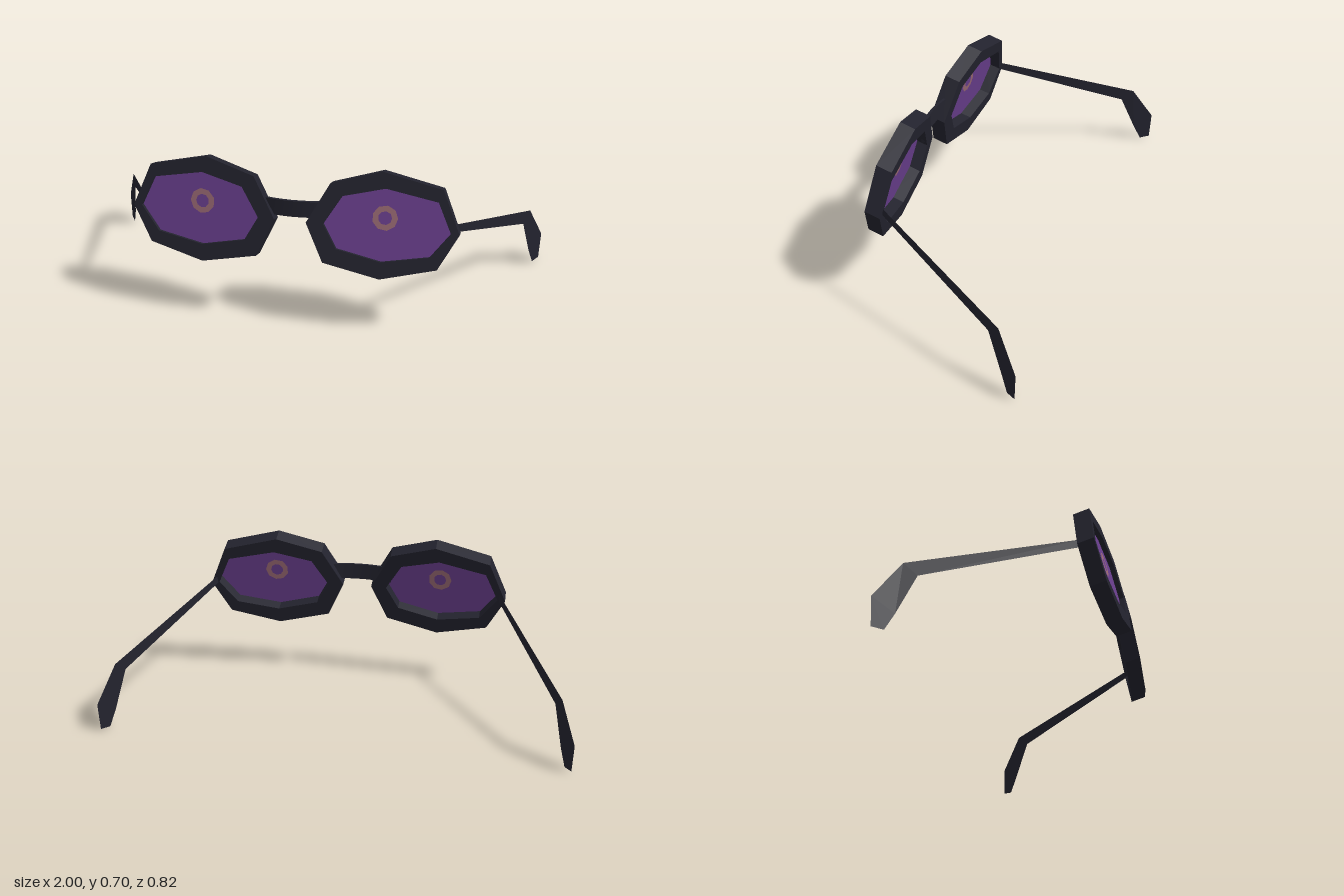
import * as THREE from 'three';

const frameMat = new THREE.MeshStandardMaterial({ color: 0x23232e });
frameMat.name = 'dark frame';
const sheetMat = new THREE.MeshStandardMaterial({ color: 0x23232e, side: THREE.DoubleSide });
sheetMat.name = 'dark thin arm';
const lensMat = new THREE.MeshStandardMaterial({ color: 0x6a3f8e, side: THREE.DoubleSide });
lensMat.name = 'purple lens';
const ringMat = new THREE.MeshStandardMaterial({ color: 0x9a6a74, side: THREE.DoubleSide });
ringMat.name = 'dusky pink ring';

// Octagon outlines of one rim (the +x side), clockwise from the top
const OUTER = [[0.361, 0.697], [0.602, 0.638], [0.676, 0.46], [0.597, 0.312],
  [0.37, 0.258], [0.138, 0.312], [0.065, 0.473], [0.157, 0.639]];
const INNER = [[0.377, 0.63], [0.586, 0.587], [0.642, 0.463], [0.564, 0.361],
  [0.372, 0.329], [0.19, 0.372], [0.134, 0.473], [0.206, 0.59]];

// Places a flat point on the tilted, slightly wrapped rim; d = 0 front, 1 back
function place(x, y, d) {
  const z = 0.358 - 0.185 * (y - 0.475) - 0.075 * (x - 0.37);
  return [x, y - 0.02 * d, z - 0.065 * d];
}

function mesh(name, geometry, material) {
  const m = new THREE.Mesh(geometry, material);
  m.name = name;
  return m;
}

function flatGeometry(positions) {
  const g = new THREE.BufferGeometry();
  g.setAttribute('position', new THREE.Float32BufferAttribute(positions, 3));
  g.computeVertexNormals();
  return g;
}

// Eight-sided rim: front face, inner wall, back face and outer wall
function rimGeometry(s) {
  const loops = [[OUTER, 0], [INNER, 0], [INNER, 1], [OUTER, 1]]
    .map(([pts, d]) => pts.map(([x, y]) => place(x, y, d)));
  const positions = [];
  for (let k = 0; k < 4; k++) {
    const a = loops[k], b = loops[(k + 1) % 4];
    for (let i = 0; i < 8; i++) {
      const j = (i + 1) % 8;
      const tris = [a[i], b[i], b[j], a[i], b[j], a[j]];
      if (s < 0) tris.reverse();
      for (const [x, y, z] of tris) positions.push(s * x, y, z);
    }
  }
  return flatGeometry(positions);
}

// Drops a flat geometry into the rim at depth d, mirrored when s = -1
function setIntoRim(geometry, s, d) {
  const p = geometry.attributes.position;
  for (let i = 0; i < p.count; i++) {
    const [x, y, z] = place(p.getX(i), p.getY(i), d);
    p.setXYZ(i, s * x, y, z);
  }
  if (s < 0) geometry.index.array.reverse();
  geometry.computeVertexNormals();
  return geometry;
}

// Thin side arm with a bent ear piece; x follows from z
function armGeometry(s) {
  const armX = z => z > -0.325 ? 0.645 + 0.487 * (0.28 - z) : 0.94 + 0.667 * (-0.325 - z);
  const top = [[0.29, 0.478], [-0.325, 0.28], [-0.415, 0.125], [-0.41, 0.005]];
  const bottom = [[0.29, 0.445], [-0.275, 0.235], [-0.34, 0.07], [-0.37, 0]];
  const positions = [];
  for (let i = 0; i < 3; i++) {
    const tris = [top[i], bottom[i], bottom[i + 1], top[i], bottom[i + 1], top[i + 1]];
    if (s > 0) tris.reverse();
    for (const [z, y] of tris) positions.push(s * armX(z), y, z);
  }
  return flatGeometry(positions);
}

export function createModel() {
  const model = new THREE.Group();
  model.name = 'glasses';

  for (const s of [1, -1]) {
    const side = s > 0 ? 'left' : 'right';
    model.add(mesh(side + 'Rim', rimGeometry(s), frameMat));

    // Lens pane, a little larger than the opening so it meets the wall
    const pane = new THREE.Shape(INNER.map(([x, y]) =>
      new THREE.Vector2(0.38 + (x - 0.38) * 1.02, 0.475 + (y - 0.475) * 1.02)));
    model.add(mesh(side + 'Lens', setIntoRim(new THREE.ShapeGeometry(pane), s, 0.3), lensMat));

    // Small ring marking on both faces of the lens
    for (const d of [0.25, 0.35]) {
      const ring = new THREE.RingGeometry(0.028, 0.052, 9, 1).translate(0.378, 0.509, 0);
      model.add(mesh(side + 'LensRing', setIntoRim(ring, s, d), ringMat));
    }

    model.add(mesh(side + 'Arm', armGeometry(s), sheetMat));
  }

  // Bridge: a strip bowed forward, its ends passing through the rims
  const bridge = new THREE.BoxGeometry(0.31, 0.07, 0.012, 8, 1, 1).translate(0, 0.513, 0.345);
  const p = bridge.attributes.position;
  for (let i = 0; i < p.count; i++) p.setZ(i, p.getZ(i) - 1.0 * p.getX(i) ** 2);
  bridge.computeVertexNormals();
  model.add(mesh('bridge', bridge, frameMat));

  return model;
}
